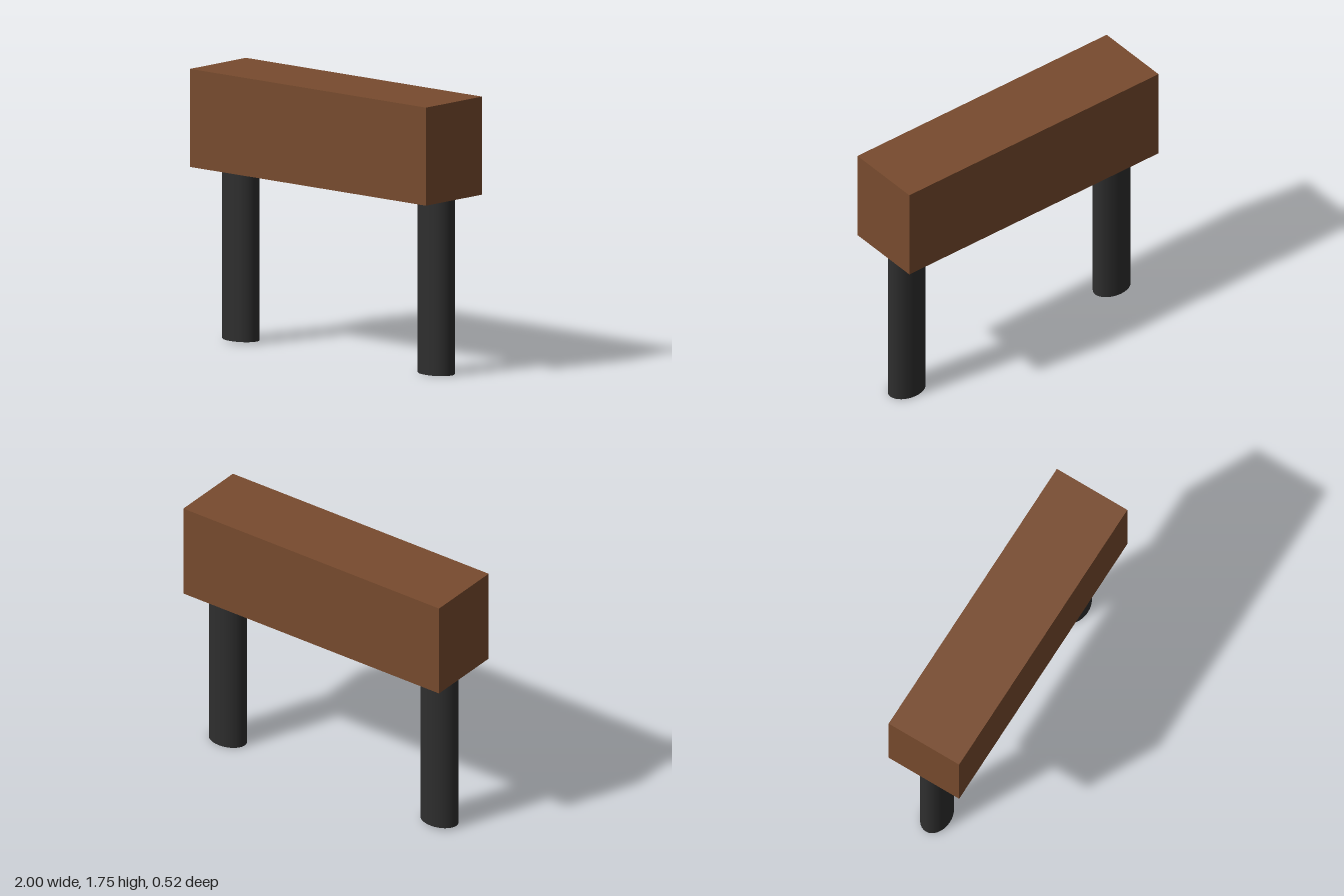
import * as THREE from 'three';

export function createModel() {
  const group = new THREE.Group();
  const wood = new THREE.MeshStandardMaterial({ color: 0x784b2e });
  const dark = new THREE.MeshStandardMaterial({ color: 0x2e2e2e });

  // Solid rectangular beam
  const bottom = 1.125, top = 1.75;
  const beam = new THREE.Mesh(new THREE.BoxGeometry(2, top - bottom, 0.52), wood);
  beam.name = 'beam';
  beam.position.y = (bottom + top) / 2;
  group.add(beam);

  // Oval posts, slightly uneven in height and placement
  const addLeg = (name, x, z, foot) => {
    const height = bottom + 0.01 - foot;
    const leg = new THREE.Mesh(new THREE.CylinderGeometry(1, 1, height, 32), dark);
    leg.name = name;
    leg.scale.set(0.132, 1, 0.095);
    leg.position.set(x, foot + height / 2, z);
    group.add(leg);
  };
  addLeg('leftLeg', 0.83, -0.021, 0);
  addLeg('rightLeg', -0.82, -0.015, 0.013);

  return group;
}
